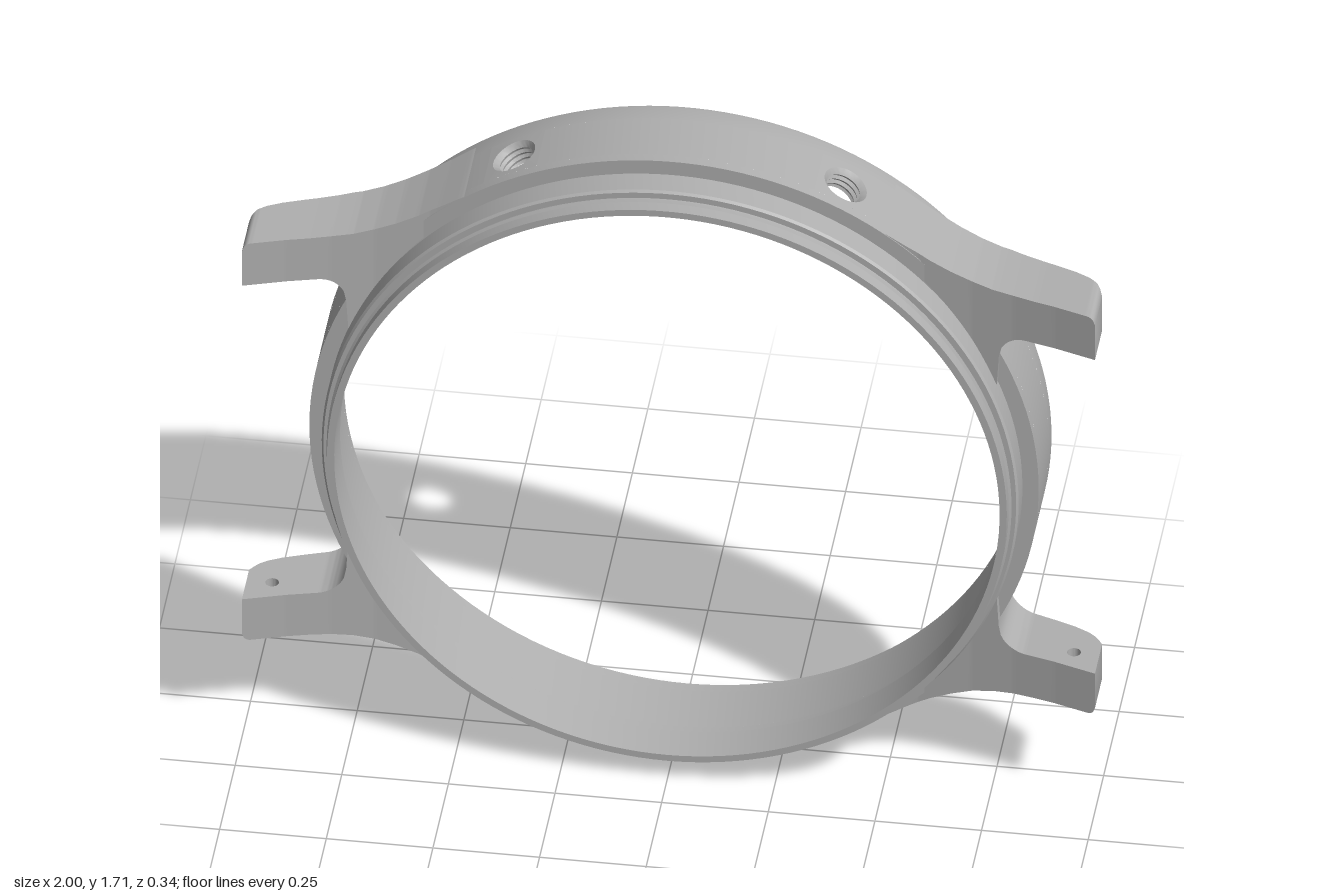
import * as THREE from 'three';
import { toCreasedNormals } from 'three/addons/utils/BufferGeometryUtils.js';
import { ParametricGeometry } from 'three/addons/geometries/ParametricGeometry.js';

const R = 0.855;            // outer radius of the case
const RI = 0.80;            // inner radius of the case wall
const HOLE_ANGLE = 0.473;   // hole offset from the top
const HOLE_Z = -0.045;
const HALF = 0.07;          // half size of the wall patch around a hole
const Z0 = HOLE_Z - HALF, Z1 = HOLE_Z + HALF;
const LOW = 0.455, HIGH = 0.575; // inner and outer faces of a lug

// piecewise linear lookup
function lookup(table, x) {
  for (let i = 1; i < table.length; i++) {
    const [x0, y0] = table[i - 1], [x1, y1] = table[i];
    if (x <= x1) return y0 + (y1 - y0) * Math.max(0, (x - x0) / (x1 - x0));
  }
  return table[table.length - 1][1];
}

// profile of [radius, z] turned about the z axis; angle 0 is the bottom
function turned(profile, start = 0, length = Math.PI * 2) {
  const pts = profile.map(([r, z]) => new THREE.Vector2(r, z));
  return new THREE.LatheGeometry(pts, Math.ceil(length * 24), start, length).rotateX(Math.PI / 2);
}

// square piece of the wall bent to the ring, with a threaded hole through it
function wallPatch(phi0) {
  const rings = [[true, R], [false, R]]; // [square outline?, radius from the axis, hole radius]
  rings[1].push(0.055);
  for (let i = 0; i <= 6; i++) rings.push([false, R - 0.006 - i * 0.007, i % 2 ? 0.044 : 0.049]);
  rings.push([false, RI, 0.047], [true, RI]);
  const n = rings.length - 1;
  return new ParametricGeometry((u, v, out) => {
    const [square, r, hole] = rings[Math.round(v * n)];
    const c = Math.cos(u * Math.PI * 2), s = Math.sin(u * Math.PI * 2);
    const k = square ? HALF / Math.max(Math.abs(c), Math.abs(s)) : hole;
    const phi = phi0 + k * c / R;
    out.set(r * Math.sin(phi), -r * Math.cos(phi), HOLE_Z + k * s);
  }, 48, n);
}

// lug outline: outer edge, inner edge, front and back, each along x
const outerTable = [[0.45, 0.72], [0.5, 0.695], [0.55, 0.664], [0.6, 0.635], [0.65, 0.612],
  [0.7, 0.594], [0.75, 0.582], [0.8, 0.577], [0.85, HIGH]];
const frontTable = [[0.45, 0.048], [0.57, 0.048], [0.7, 0.063], [0.8, 0.082], [0.9, 0.108], [1, 0.14]];
const backTable = [[0.45, -0.15], [0.6, -0.128], [0.77, -0.09], [0.88, -0.052], [0.93, -0.033],
  [0.965, -0.015], [0.985, 0.002], [1, 0.025]];
const front = (x) => lookup(frontTable, x);
const back = (x) => lookup(backTable, x);
function outer(x) {
  if (x <= 0.98) return lookup(outerTable, x);
  return HIGH - 0.02 + Math.sqrt(Math.max(0, 0.0004 - (x - 0.98) ** 2));
}
function inner(x) {
  if (x < 0.7649) return Math.sqrt(0.82 ** 2 - x * x);   // buried in the ring
  if (x < 0.83) return 0.39 + Math.sqrt(Math.max(0, 0.065 ** 2 - (x - 0.83) ** 2));
  return LOW;
}
function section(x, k, out) {
  const y = k === 1 || k === 2 ? outer(x) : inner(x);
  return out.set(x, y, k === 2 || k === 3 ? back(x) : front(x));
}

function lugPieces() {
  // root that flows into the ring
  const root = new ParametricGeometry((u, v, out) =>
    section(0.45 + u * 0.38, Math.round(v * 4) % 4, out), 76, 4);
  // tip, open on its inner face, closed at the end
  const tip = new ParametricGeometry((u, v, out) => {
    const i = Math.round(u * 35);
    if (i === 35) return out.set(1, LOW, 0.08);
    return section(0.83 + 0.17 * i / 34, Math.round(v * 3), out);
  }, 35, 3);
  // flat inner face with the pin hole
  const xs = Array.from({ length: 18 }, (_, i) => 0.83 + i * 0.01);
  const face = new THREE.Shape([
    ...xs.map((x) => new THREE.Vector2(x, back(x))),
    ...xs.reverse().map((x) => new THREE.Vector2(x, front(x)))]);
  face.holes.push(new THREE.Path().absarc(0.94, 0.065, 0.016, 0, Math.PI * 2, true));
  const innerFace = new THREE.ShapeGeometry(face, 10).rotateX(Math.PI / 2).translate(0, LOW, 0);
  const pin = [[0, 0.05], [0.016, 0.05], [0.016, 0]].map(([x, y]) => new THREE.Vector2(x, y));
  const pinHole = new THREE.LatheGeometry(pin, 20).translate(0.94, LOW, 0.065);
  return { lugRoot: root, lugTip: tip, lugInnerFace: innerFace, lugPinHole: pinHole };
}

export function createModel() {
  const model = new THREE.Group();
  model.name = 'watchCase';
  const steel = new THREE.MeshStandardMaterial({ color: 0xb0b0b0 });
  steel.name = 'steel grey';

  const add = (parent, name, geometry, crease = 0.5) => {
    const mesh = new THREE.Mesh(toCreasedNormals(geometry, crease), steel);
    mesh.name = name;
    parent.add(mesh);
  };

  const ring = new THREE.Group();
  ring.name = 'caseRing';
  ring.position.y = R;
  model.add(ring);

  // stepped front with the bezel seat
  add(ring, 'frontSteps', turned([
    [R, Z1], [R, 0.05], [0.817, 0.05], [0.817, 0.112], [0.812, 0.118], [0.797, 0.118], [0.797, 0.126],
    [0.803, 0.13], [0.797, 0.134], [0.797, 0.165], [0.78, 0.165], [0.78, 0.07], [RI, 0.07], [RI, Z1]]));
  // rear rim with the seat for the back cover
  add(ring, 'rearRim', turned([
    [RI, Z0], [RI, -0.13], [0.818, -0.13], [0.818, -0.165], [0.823, -0.17],
    [0.847, -0.17], [0.853, -0.166], [R, -0.158], [R, Z0]]));

  // wall between them, interrupted by the two hole patches
  const gap = HALF / R;
  const arcs = [
    [Math.PI - HOLE_ANGLE + gap, 2 * (HOLE_ANGLE - gap)],
    [Math.PI + HOLE_ANGLE + gap, 2 * (Math.PI - HOLE_ANGLE - gap)]];
  for (const [start, length] of arcs) {
    add(ring, 'outerWall', turned([[R, Z0], [R, Z1]], start, length));
    add(ring, 'innerWall', turned([[RI, Z1], [RI, Z0]], start, length));
  }
  for (const side of [-1, 1]) add(ring, 'holeWall', wallPatch(Math.PI + side * HOLE_ANGLE));

  // four mirrored lugs
  for (const sx of [1, -1]) for (const sy of [1, -1]) {
    const lug = new THREE.Group();
    lug.name = (sy > 0 ? 'upper' : 'lower') + (sx > 0 ? 'Left' : 'Right') + 'Lug';
    for (const [name, geometry] of Object.entries(lugPieces())) {
      geometry.scale(sx, sy, 1);
      if (sx * sy < 0) geometry.index.array.reverse(); // keep faces outward
      add(lug, name, geometry, 0.6);
    }
    ring.add(lug);
  }
  return model;
}
